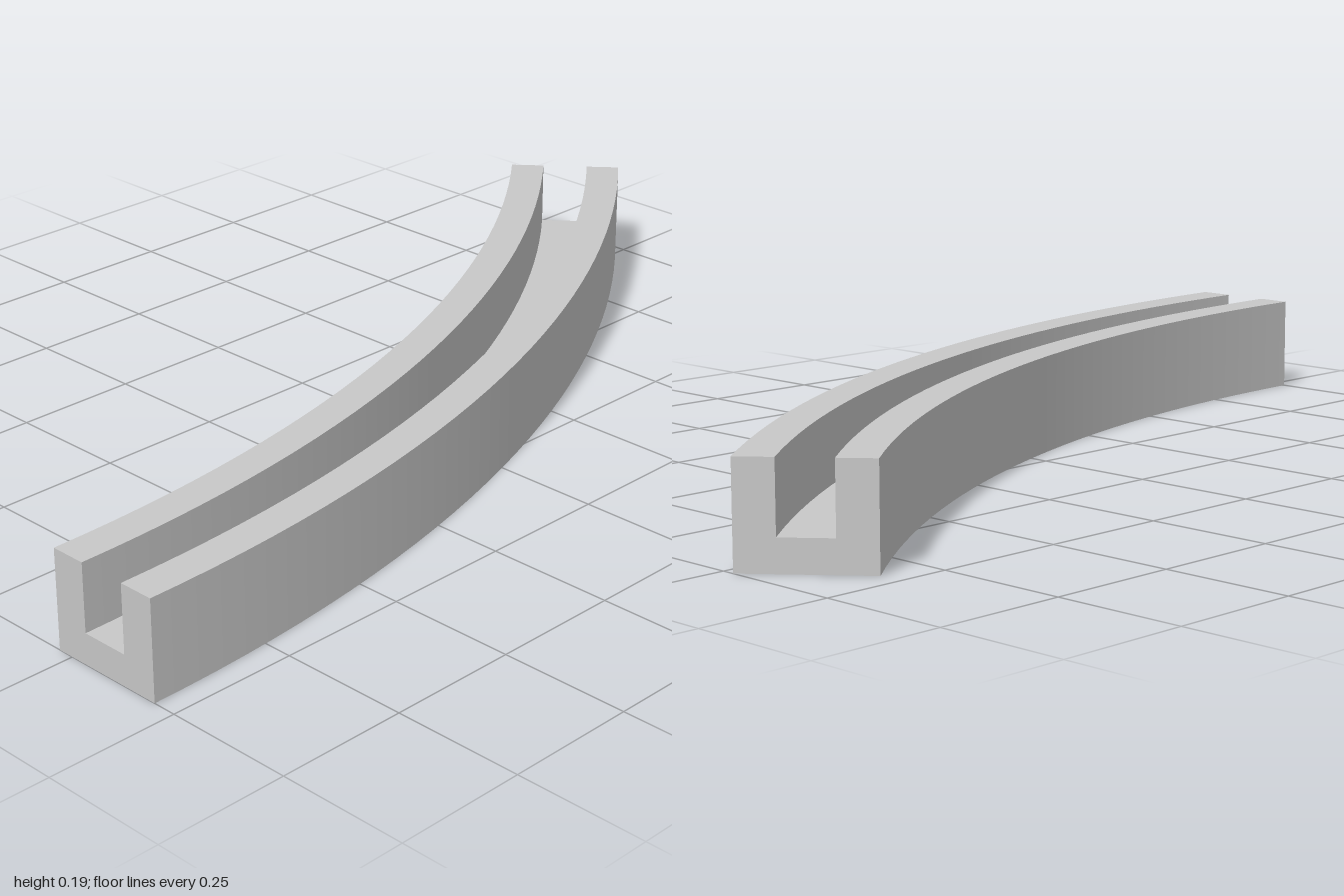
import * as THREE from 'three';

const ARC = THREE.MathUtils.degToRad(40);
const SEGMENTS = 32;

// U-shaped cross-section: [radius, height], counter-clockwise
const profile = [
  [2.875, 0], [3.111, 0], [3.111, 0.19], [3.041, 0.19],
  [3.041, 0.06], [2.945, 0.06], [2.945, 0.19], [2.875, 0.19],
].map(([r, y]) => new THREE.Vector2(r, y));

const faceNames = ['underside', 'outerSide', 'outerRim', 'outerGrooveWall',
  'grooveFloor', 'innerGrooveWall', 'innerRim', 'innerSide'];

export function createModel() {
  const grey = new THREE.MeshStandardMaterial({ color: 0xc8c8c8 });
  grey.name = 'light grey';
  const track = new THREE.Group();
  track.name = 'curvedChannelTrack';

  const add = (name, geometry) => {
    const mesh = new THREE.Mesh(geometry, grey);
    mesh.name = name;
    track.add(mesh);
  };

  // Each profile edge swept along the arc, so edges between faces stay sharp
  profile.forEach((p, i) => {
    const next = profile[(i + 1) % profile.length];
    add(faceNames[i], new THREE.LatheGeometry([p, next], SEGMENTS, Math.PI / 2, ARC));
  });

  // End faces
  const section = new THREE.Shape(profile);
  add('frontEnd', new THREE.ShapeGeometry(section));

  const backEnd = new THREE.ShapeGeometry(section);
  backEnd.index.array.reverse();
  backEnd.computeVertexNormals();
  backEnd.rotateY(ARC);
  add('backEnd', backEnd);

  // Arc centre placed so the track is centred on the origin
  track.position.set(-2.657, 0, 1);
  const model = new THREE.Group();
  model.name = 'curvedTrack';
  model.add(track);
  return model;
}
